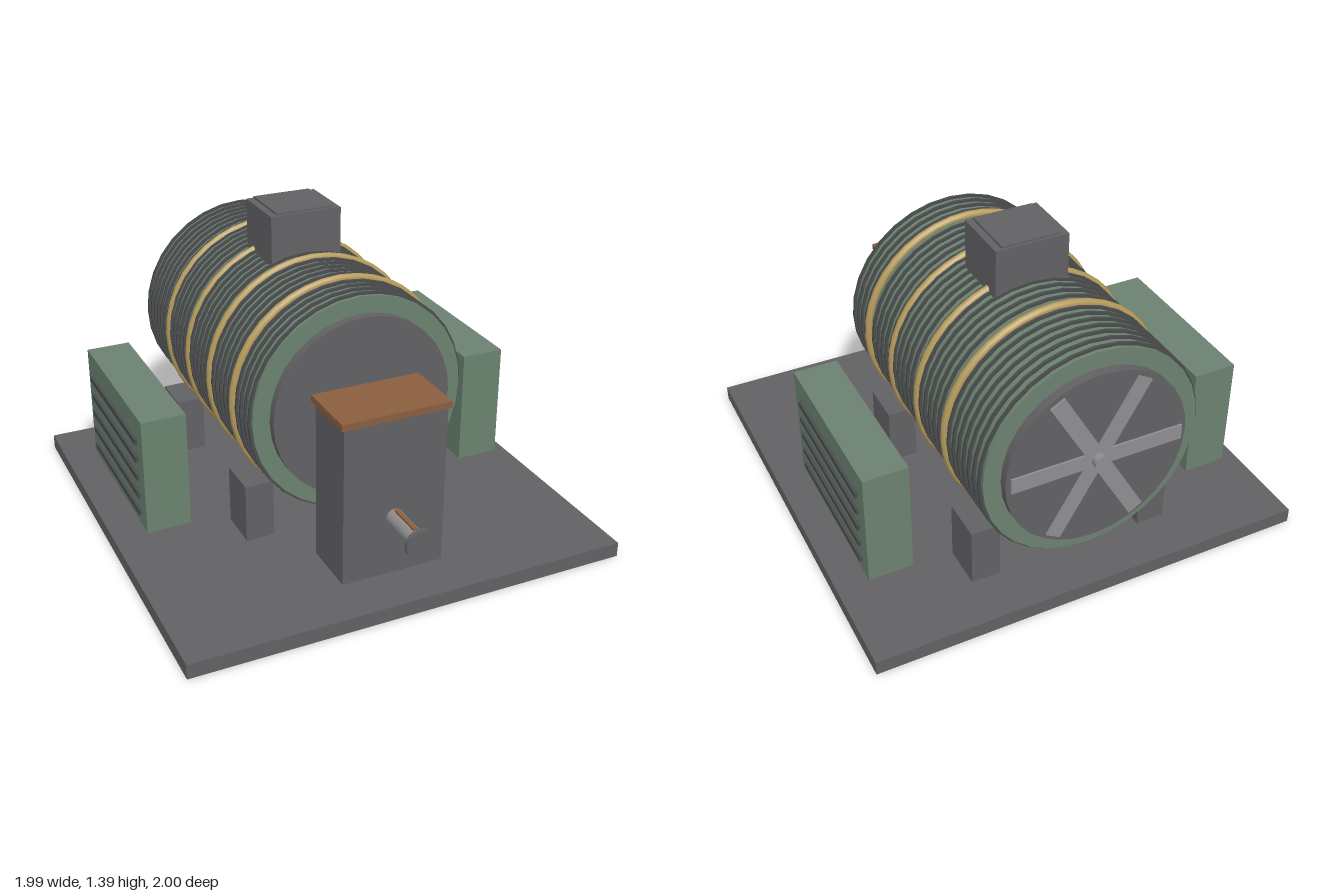
import * as THREE from 'three';

const mat = (name, color) => new THREE.MeshStandardMaterial({ name, color });

export function createModel() {
  const green = mat('enamelGreen', 0x6b8270);
  const grey = mat('ironGrey', 0x626164);
  const dark = mat('finDarkGrey', 0x4a4c4d);
  const gold = mat('brassBand', 0xb59a5b);
  const brown = mat('copperBrown', 0x8b5e3f);
  const steel = mat('lightSteel', 0x8e8e91);

  const root = new THREE.Group();
  root.name = 'generator';
  const add = (name, geometry, material, parent = root) => {
    const mesh = new THREE.Mesh(geometry, material);
    mesh.name = name;
    parent.add(mesh);
    return mesh;
  };
  // Box given by its extents on each axis
  const box = (name, material, x0, x1, y0, y1, z0, z1, parent) => {
    const mesh = add(name, new THREE.BoxGeometry(x1 - x0, y1 - y0, z1 - z0), material, parent);
    mesh.position.set((x0 + x1) / 2, (y0 + y1) / 2, (z0 + z1) / 2);
    return mesh;
  };
  // Cylinder lying along z
  const rod = (name, material, radius, y, z0, z1, sides = 32, parent) => {
    const geometry = new THREE.CylinderGeometry(radius, radius, z1 - z0, sides).rotateX(Math.PI / 2);
    const mesh = add(name, geometry, material, parent);
    mesh.position.set(0, y, (z0 + z1) / 2);
    return mesh;
  };

  const axisY = 0.705;
  box('basePlate', grey, -0.993, 0.993, 0, 0.067, -1, 0.987);

  // Finned drum with end caps
  const drum = new THREE.Group();
  drum.name = 'drum';
  root.add(drum);
  rod('drumBody', green, 0.483, axisY, -0.912, 0.43, 32, drum);
  rod('frontCap', grey, 0.407, axisY, 0.42, 0.47, 32, drum);
  rod('backCap', grey, 0.407, axisY, -0.952, -0.9, 32, drum);
  for (let i = 0; i < 29; i++) {
    const z = -0.89 + i * 0.0464;
    rod('coolingFin', dark, 0.495, axisY, z - 0.006, z + 0.006, 32, drum);
  }
  for (const z of [0.232, -0.038, -0.308, -0.578]) {
    add('brassBand', new THREE.TorusGeometry(0.49, 0.0185, 8, 40), gold, drum).position.set(0, axisY, z);
  }

  // Fan on the back end
  const fan = new THREE.Group();
  fan.name = 'fan';
  fan.position.set(0, axisY, -0.955);
  root.add(fan);
  for (let i = 0; i < 6; i++) {
    const blade = new THREE.BoxGeometry(0.36, 0.07, 0.012).translate(0.205, 0, 0);
    add('fanBlade', blade, steel, fan).rotation.z = i * Math.PI / 3;
  }
  rod('fanHub', steel, 0.032, 0, -0.037, 0.005, 16, fan);

  // Terminal box on top of the drum
  box('terminalBox', grey, -0.165, 0.165, 1.15, 1.382, -0.382, -0.1);
  box('terminalLid', grey, -0.134, 0.134, 1.382, 1.392, -0.372, -0.112);

  // Gearbox, lid and output shaft at the front
  box('gearbox', grey, -0.233, 0.233, 0.067, 0.793, 0.503, 0.768);
  box('gearboxLid', brown, -0.247, 0.247, 0.793, 0.822, 0.487, 0.778);
  rod('outputShaft', steel, 0.038, 0.338, 0.76, 0.985, 24);
  rod('shaftFlange', grey, 0.066, 0.338, 0.98, 1.0, 24);
  box('shaftKey', brown, -0.009, 0.009, 0.36, 0.384, 0.785, 0.945);

  // Feet and louvred side cabinets, mirrored
  for (const s of [1, -1]) {
    const sideBox = (name, material, x0, x1, ...rest) =>
      box(name, material, Math.min(s * x0, s * x1), Math.max(s * x0, s * x1), ...rest);
    sideBox('foot', grey, 0.338, 0.468, 0.067, 0.336, 0.1, 0.295);
    sideBox('foot', grey, 0.338, 0.468, 0.067, 0.336, -0.775, -0.58);
    sideBox('sideCabinet', green, 0.674, 0.872, 0.138, 0.67, -0.64, 0.16);
    for (let i = 0; i < 5; i++) {
      const y = 0.202 + i * 0.087;
      sideBox('louvre', dark, 0.868, 0.884, y - 0.013, y + 0.013, -0.575, 0.093);
    }
  }
  return root;
}
